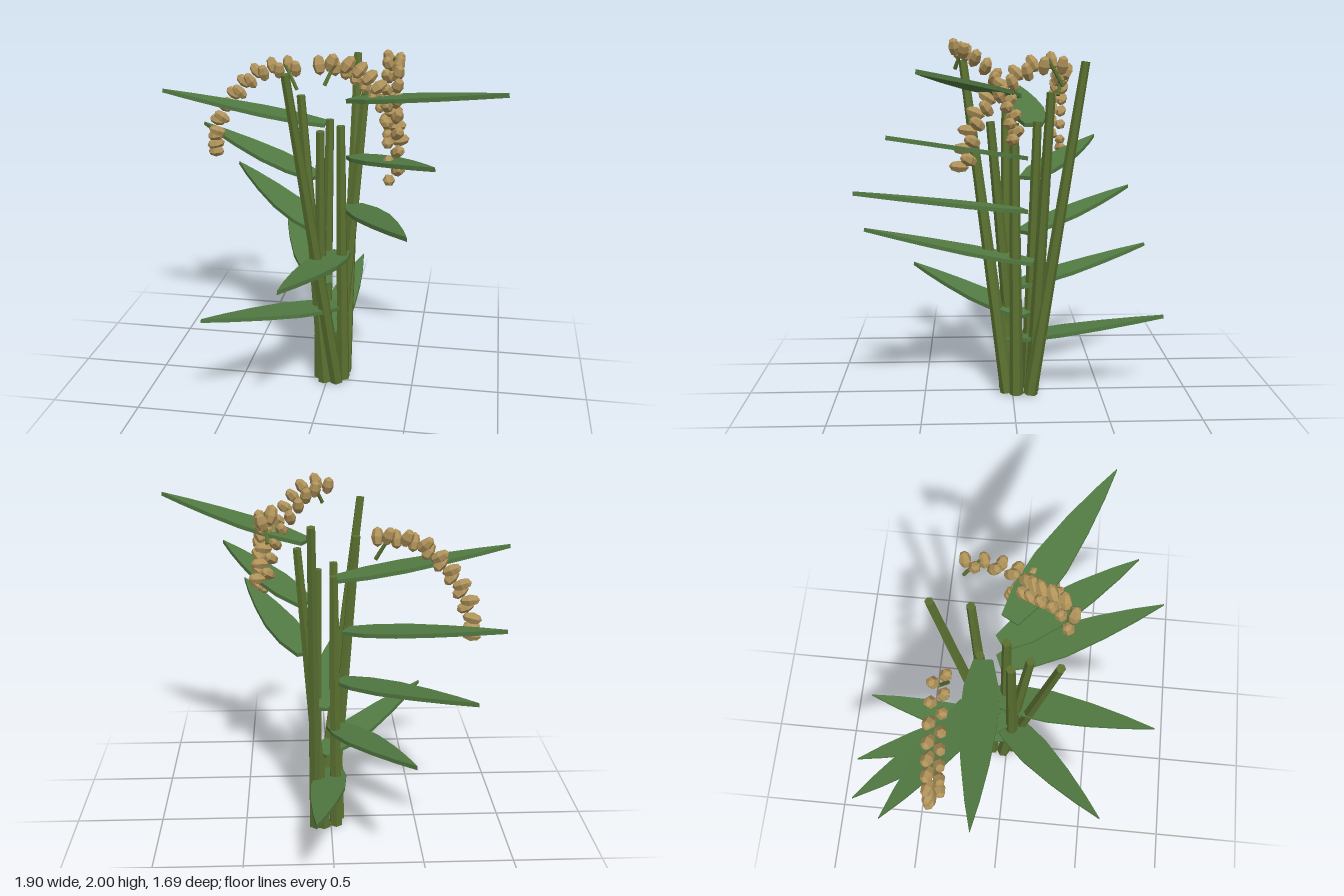
import * as THREE from 'three';

const mat = (color) => new THREE.MeshStandardMaterial({ color, flatShading: true });
const UP = new THREE.Vector3(0, 1, 0);
const V = (a) => new THREE.Vector3(...a);

export function createModel() {
  const model = new THREE.Group();
  const stalkMat = mat(0x5a7030), leafMat = mat(0x527a42), grainMat = mat(0xb0935a);

  // tapered rod between two points
  function rod(name, a, b, r0, r1, parent) {
    const dir = b.clone().sub(a);
    const m = new THREE.Mesh(new THREE.CylinderGeometry(r1, r0, dir.length(), 6), stalkMat);
    m.position.copy(a).add(b).multiplyScalar(0.5);
    m.quaternion.setFromUnitVectors(UP, dir.normalize());
    m.name = name;
    parent.add(m);
  }

  // leaning stalks: base x, base z, then the top point
  const stalks = [
    [0.06, 0.03, -0.175, 1.88, 0.27],
    [0.09, -0.1, 0.11, 1.88, -0.39],
    [-0.01, 0.035, -0.14, 1.72, 0.03],
    [0.04, -0.11, 0.18, 1.72, -0.2],
    [-0.045, -0.02, -0.02, 1.55, 0.12],
    [-0.03, -0.09, -0.01, 1.55, -0.14],
    [0.09, -0.02, 0.07, 1.55, -0.01],
  ];
  for (const [bx, bz, x, y, z] of stalks)
    rod('stalk', V([bx, 0.01, bz]), V([x, y, z]), 0.04, 0.024, model);

  // lance-shaped leaf blade, lying along +x with a blunt base
  const half = [[0, 0.05], [0.17, 0.088], [0.38, 0.095], [0.62, 0.07], [0.83, 0.036]];
  const outline = [
    ...half.map(([x, w]) => new THREE.Vector2(x, -w)),
    new THREE.Vector2(1, 0),
    ...half.slice().reverse().map(([x, w]) => new THREE.Vector2(x, w)),
  ];
  const blade = new THREE.ExtrudeGeometry(new THREE.Shape(outline), { depth: 0.022, bevelEnabled: false });
  blade.translate(0, 0, -0.011).rotateX(-Math.PI / 2);

  // leaves climbing the clump: tip point, then base x and z
  const leaves = [
    [0.1, 0.46, -0.85, -0.02, 0.06],
    [-0.58, 0.62, 0.59, 0.06, -0.07],
    [-0.4, 0.77, -0.82, -0.02, 0.0],
    [-0.11, 0.93, 0.84, 0.065, -0.12],
    [-0.7, 1.08, -0.76, -0.05, -0.06],
    [0.51, 1.24, 0.82, 0.14, -0.06],
    [-0.86, 1.385, -0.56, -0.08, -0.09],
    [0.62, 1.53, 0.64, 0.14, -0.05],
    [-0.95, 1.69, -0.085, -0.03, -0.12],
    [0.945, 1.86, 0.47, 0.13, 0.0],
  ];
  for (const [x, y, z, bx, bz] of leaves) {
    const flat = Math.hypot(x - bx, z - bz), rise = 0.16;
    const leaf = new THREE.Mesh(blade, leafMat);
    leaf.name = 'leaf';
    leaf.position.set(bx, y - rise, bz);
    leaf.rotation.set(0, Math.atan2(bz - z, x - bx), Math.atan2(rise, flat), 'YZX');
    leaf.scale.x = Math.hypot(flat, rise);
    model.add(leaf);
  }

  // drooping grain heads: path points, plus a short stem under the first grains
  const heads = [
    { path: [[-0.23, 1.81, -0.3], [-0.44, 1.77, -0.3], [-0.6, 1.62, -0.3], [-0.7, 1.45, -0.3], [-0.71, 1.28, -0.3]],
      stem: [[-0.22, 1.68, -0.27], [-0.29, 1.81, -0.3]] },
    { path: [[0.02, 1.95, 0.31], [0.12, 1.93, 0.25], [0.22, 1.84, 0.13], [0.32, 1.69, 0.04], [0.37, 1.49, 0.0]],
      stem: [[0.035, 1.84, 0.31], [0.07, 1.92, 0.28]] },
    { path: [[0.33, 1.88, -0.24], [0.34, 1.87, -0.11], [0.35, 1.77, 0.05], [0.37, 1.6, 0.2], [0.39, 1.35, 0.27]],
      stem: [[0.33, 1.76, -0.25], [0.34, 1.9, -0.17]] },
  ];
  const grainGeo = new THREE.SphereGeometry(1, 6, 4);
  grainGeo.scale(0.033, 0.052, 0.033);
  for (const { path, stem } of heads) {
    const head = new THREE.Group();
    head.name = 'grainHead';
    rod('grainStem', V(stem[0]), V(stem[1]), 0.011, 0.009, head);
    const curve = new THREE.CatmullRomCurve3(path.map(V));
    for (let i = 0; i < 18; i++) {
      const t = i / 17, s = i % 2 ? 1 : -1;
      const tangent = curve.getTangentAt(t);
      const side = new THREE.Vector3().crossVectors(tangent, UP).normalize();
      const out = new THREE.Vector3().crossVectors(side, tangent);
      const grain = new THREE.Mesh(grainGeo, grainMat);
      grain.name = 'grain';
      grain.position.copy(curve.getPointAt(t)).addScaledVector(side, 0.027 * s).addScaledVector(out, 0.012 * s);
      // each grain stands across the path, tipped alternately
      out.addScaledVector(side, 0.3 * s).addScaledVector(tangent, 0.2 * s).normalize();
      grain.quaternion.setFromUnitVectors(UP, out);
      head.add(grain);
    }
    model.add(head);
  }
  return model;
}
